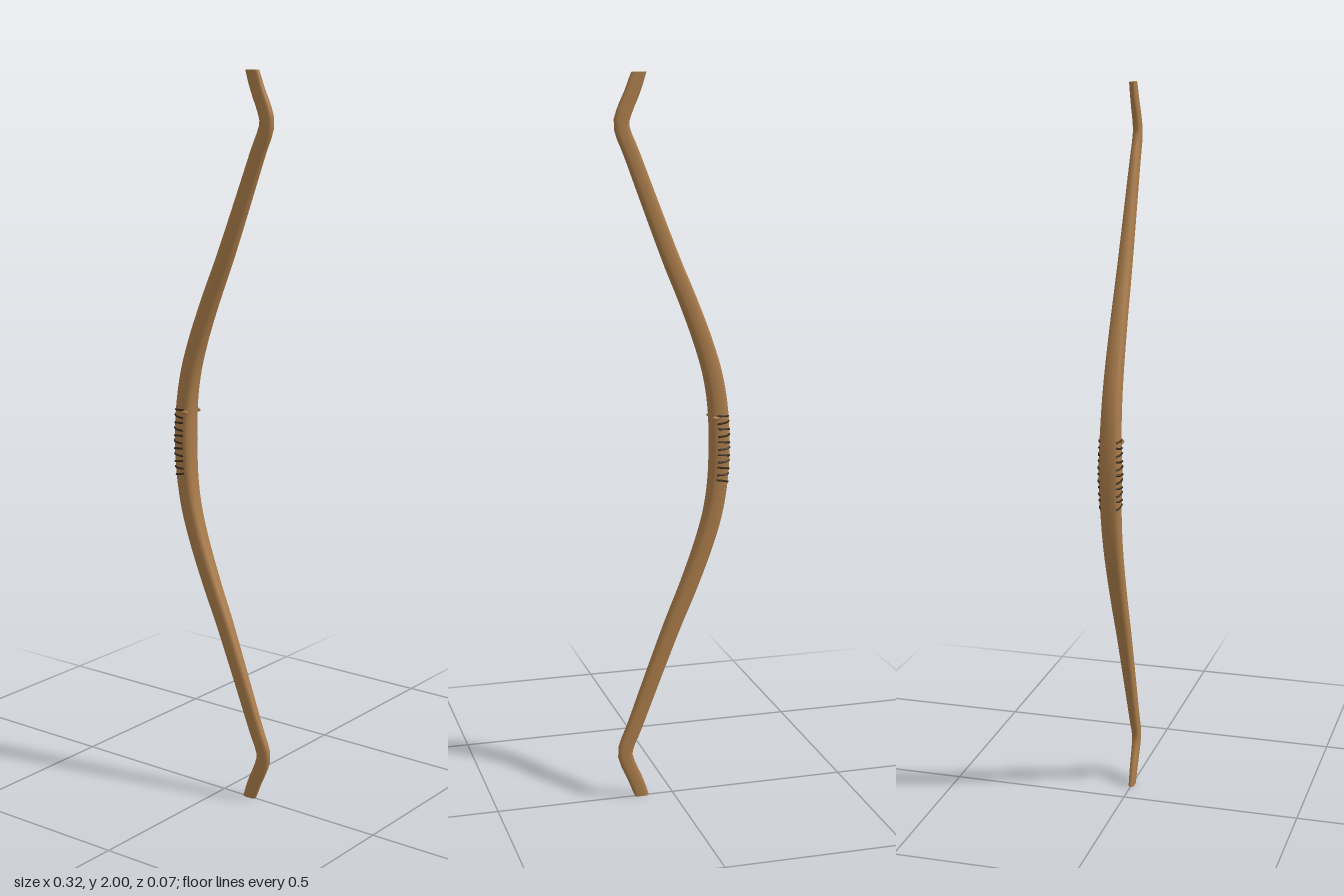
import * as THREE from 'three';

// Centre line of the upper limb: height above the grip, x
const HALF = [
  [0, -0.133], [0.1, -0.129], [0.19, -0.115], [0.28, -0.089], [0.4, -0.044], [0.5, -0.002],
  [0.6, 0.037], [0.7, 0.075], [0.8, 0.113], [0.845, 0.132], [0.87, 0.137], [0.9, 0.129], [0.95, 0.107], [1, 0.089],
];
const upper = HALF.map(([h, x]) => new THREE.Vector3(x, 1 + h, 0));
const lower = HALF.slice(1).reverse().map(([h, x]) => new THREE.Vector3(x, 1 - h, 0));
const spine = new THREE.CatmullRomCurve3([...lower, ...upper], false, 'centripetal');

// Half width and half depth of the stave at a height
function halfSize(y) {
  const d = Math.min(1, Math.abs(y - 1));
  const swell = Math.max(0, 1 - d / 0.12) * 0.0015;
  return [0.027 - 0.007 * d, 0.0295 - 0.021 * d + swell];
}

// Point on the softly squared section around the spine
function surfacePoint(centre, tangent, angle) {
  const [w, d] = halfSize(centre.y);
  const soft = (v) => Math.sign(v) * Math.pow(Math.abs(v), 0.7);
  const n = soft(Math.cos(angle)) * w;
  return new THREE.Vector3(centre.x + tangent.y * n, centre.y - tangent.x * n, soft(Math.sin(angle)) * d);
}

function makeStave(rings, sides) {
  const pos = [], index = [], ends = [];
  for (let i = 0; i <= rings; i++) {
    const c = spine.getPointAt(i / rings);
    const isEnd = i === 0 || i === rings;
    // The nocks are cut level
    const t = isEnd ? new THREE.Vector3(0, 1, 0) : spine.getTangentAt(i / rings);
    const ring = [];
    for (let j = 0; j < sides; j++) {
      const p = surfacePoint(c, t, (j / sides) * Math.PI * 2);
      ring.push(p);
      pos.push(p.x, p.y, p.z);
    }
    if (isEnd) ends.push([c, ring]);
  }
  for (let i = 0; i < rings; i++) {
    for (let j = 0; j < sides; j++) {
      const k = (j + 1) % sides;
      const a = i * sides + j, b = i * sides + k;
      index.push(a, a + sides, b, b, a + sides, b + sides);
    }
  }
  // Flat end caps
  ends.forEach(([c, ring], e) => {
    const start = pos.length / 3;
    pos.push(c.x, c.y, c.z);
    ring.forEach((p) => pos.push(p.x, p.y, p.z));
    for (let j = 0; j < sides; j++) {
      const a = start + 1 + j, b = start + 1 + ((j + 1) % sides);
      if (e === 0) index.push(start, a, b);
      else index.push(start, b, a);
    }
  });
  const geo = new THREE.BufferGeometry();
  geo.setAttribute('position', new THREE.Float32BufferAttribute(pos, 3));
  geo.setIndex(index);
  geo.computeVertexNormals();
  return geo;
}

// Short cord lying across one face of the grip, slightly slanted
function makeLace(y, side, slant) {
  const t = (y - spine.points[0].y) / 2;
  const tangent = spine.getTangentAt(t);
  const points = [];
  for (let k = 0; k <= 6; k++) {
    const u = k / 6;
    const centre = spine.getPointAt(t);
    const p = surfacePoint(centre, tangent, side * THREE.MathUtils.lerp(1.25, 2.5, u));
    p.y += slant * (u - 0.5);
    points.push(p);
  }
  return new THREE.TubeGeometry(new THREE.CatmullRomCurve3(points), 10, 0.003, 6, false);
}

export function createModel() {
  const model = new THREE.Group();
  model.name = 'bow';
  const wood = new THREE.MeshStandardMaterial({ color: 0xab7d4a });
  wood.name = 'warm wood';
  const cord = new THREE.MeshStandardMaterial({ color: 0x3b2a1a });
  cord.name = 'dark cord';

  const add = (name, geometry, material) => {
    const mesh = new THREE.Mesh(geometry, material);
    mesh.name = name;
    model.add(mesh);
    return mesh;
  };

  add('stave', makeStave(96, 16), wood);

  for (const side of [-1, 1]) {
    // Lacing on the front and back of the grip
    for (let i = 0; i < 11; i++) {
      add('gripLace', makeLace(0.91 + i * 0.017, side, i % 2 ? 0.005 : -0.005), cord);
    }
    // Small knots finishing the lacing
    const knot = add('laceKnot', new THREE.SphereGeometry(0.007, 8, 6), wood);
    knot.position.set(-0.116, 1.08, side * 0.027);
    knot.scale.set(1.7, 0.8, 0.9);
  }
  return model;
}
